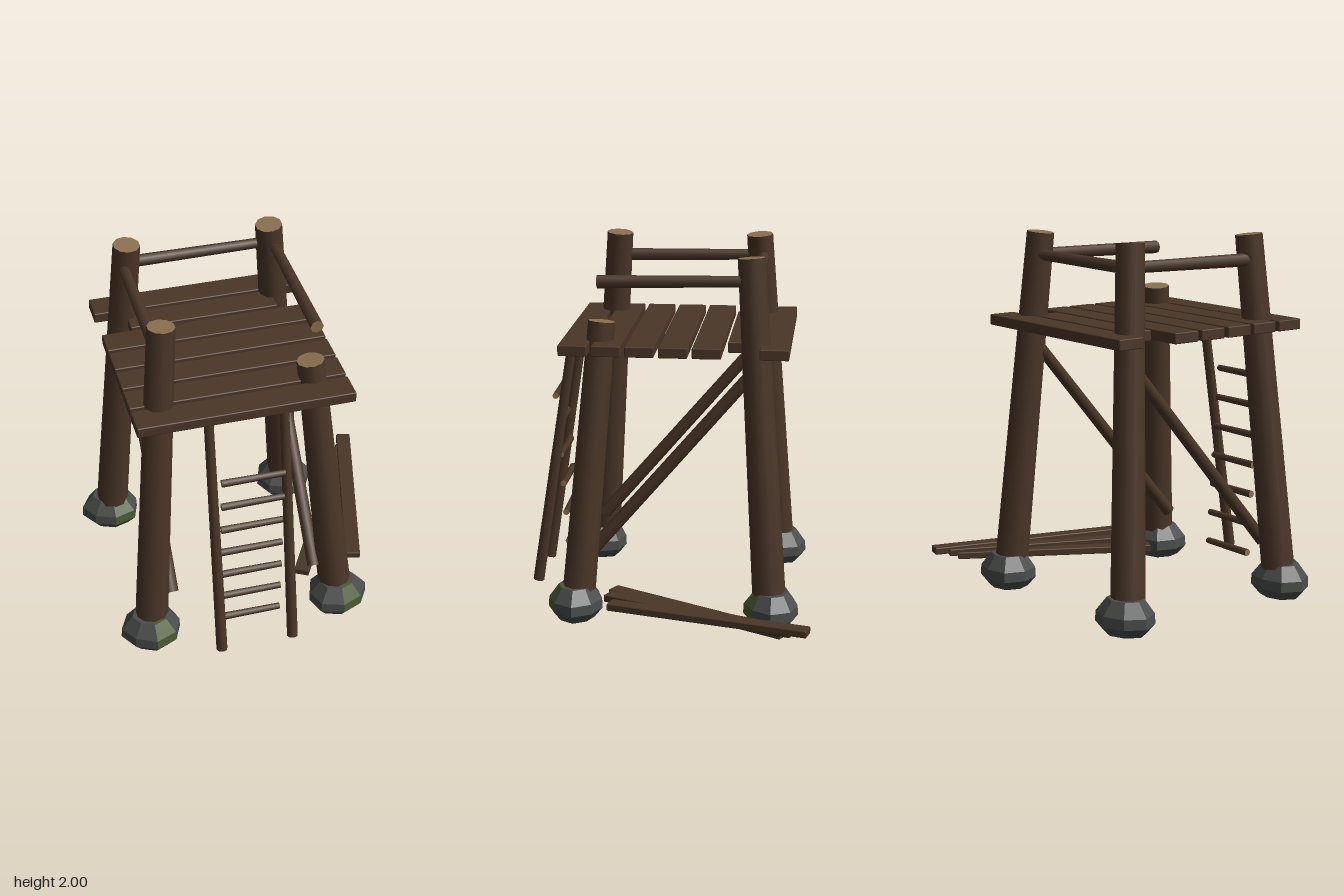
import * as THREE from 'three';
import { RoundedBoxGeometry } from 'three/addons/geometries/RoundedBoxGeometry.js';

const material = (name, color, flatShading = false) => {
  const m = new THREE.MeshStandardMaterial({ color, flatShading });
  m.name = name;
  return m;
};

export function createModel() {
  const wood = material('bark brown', 0x4a3628);
  const cut = material('cut wood tan', 0x8b7050);
  const stone = material('stone grey', 0x4a4d4b, true);
  const moss = material('moss green', 0x4a5a34, true);

  const model = new THREE.Group();
  model.name = 'watchtower';
  const V = (x, y, z) => new THREE.Vector3(x, y, z);
  const up = V(0, 1, 0);
  const group = (name) => {
    const g = new THREE.Group();
    g.name = name;
    model.add(g);
    return g;
  };

  // Round timber from a to b, with chosen end materials
  function pole(parent, name, a, b, rA, rB, sides, endB = wood, endA = wood) {
    const d = b.clone().sub(a);
    const mesh = new THREE.Mesh(new THREE.CylinderGeometry(rB, rA, d.length(), sides), [wood, endB, endA]);
    mesh.name = name;
    mesh.position.copy(a).add(b).multiplyScalar(0.5);
    mesh.quaternion.setFromUnitVectors(up, d.normalize());
    parent.add(mesh);
  }

  function board(parent, name, size, pos, turn = 0) {
    const mesh = new THREE.Mesh(new RoundedBoxGeometry(...size, 1, 0.006), wood);
    mesh.name = name;
    mesh.position.set(...pos);
    mesh.rotation.y = THREE.MathUtils.degToRad(turn);
    parent.add(mesh);
  }

  // Eight-sided footing stone with one mossy facet column facing front
  function footing(parent, x, z, rx, rz, seed) {
    const profile = [[0, 0], [0.7, 0], [1, 0.055], [0.98, 0.11], [0.62, 0.185], [0, 0.185]]
      .map(([r, y]) => new THREE.Vector2(r, y));
    const geo = new THREE.LatheGeometry(profile, 8);
    const p = geo.attributes.position;
    for (let i = 0; i < p.count; i++) {
      const px = p.getX(i), pz = p.getZ(i);
      const k = 1 + 0.05 * Math.sin(3 * Math.atan2(px, pz + 1e-6) + seed);
      p.setX(i, px * k);
      p.setZ(i, pz * k);
    }
    const perSide = (profile.length - 1) * 6;
    geo.addGroup(0, perSide, 1);
    geo.addGroup(perSide, perSide * 7, 0);
    const mesh = new THREE.Mesh(geo, [stone, moss]);
    mesh.name = 'footingStone';
    mesh.position.set(x, 0, z);
    mesh.scale.set(rx, 1, rz);
    parent.add(mesh);
  }

  // Leaning corner legs on stones; the front left one is broken short
  const legs = group('legs');
  const stones = group('footings');
  const cx = -0.165, cz = -0.035;
  let seed = 0;
  for (const sx of [-1, 1]) {
    for (const sz of [-1, 1]) {
      const height = sx > 0 && sz > 0 ? 1.635 : 1.99;
      pole(legs, 'leg', V(cx + sx * 0.54, 0.05, cz + sz * 0.53),
        V(cx + sx * 0.395, height, cz + sz * 0.4), 0.092, 0.074, 10, cut);
      footing(stones, cx + sx * 0.54, cz + sz * 0.54, 0.167, 0.15, seed++);
    }
  }

  // Deck planks; the one between the back legs is cut shorter
  const deck = group('deck');
  for (let i = 0; i < 7; i++) {
    const length = i === 1 ? 0.83 : 1.165;
    board(deck, 'deckPlank', [length, 0.058, 0.155], [cx, 1.508, -0.57 + i * 0.1785]);
  }

  // Guard rails on three sides
  const rails = group('guardRails');
  pole(rails, 'backRail', V(-0.58, 1.865, -0.46), V(0.25, 1.868, -0.455), 0.034, 0.028, 8, cut, cut);
  pole(rails, 'rightRail', V(-0.588, 1.855, 0.385), V(-0.588, 1.868, -0.44), 0.036, 0.03, 8, cut, cut);
  pole(rails, 'leftRail', V(0.255, 1.852, 0.385), V(0.255, 1.868, -0.44), 0.036, 0.03, 8, cut, cut);

  // Diagonal side braces
  const braces = group('braces');
  for (const x of [-0.575, 0.245]) {
    pole(braces, 'brace', V(x, 0.29, 0.475), V(x, 1.39, -0.465), 0.037, 0.034, 8);
  }

  // Ladder
  const ladder = group('ladder');
  for (const x of [-0.37, 0.034]) {
    pole(ladder, 'ladderStile', V(x, 0.08, 0.772), V(x, 1.49, 0.555), 0.031, 0.026, 8);
  }
  for (let i = 0; i < 7; i++) {
    const y = 0.14 + i * 0.1695;
    const z = 0.588 + i * 0.012;
    pole(ladder, 'rung', V(-0.332, y, z), V(0.012, y, z), 0.021, 0.018, 7, cut, cut);
  }

  // Fanned stack of loose boards beside the tower
  const stack = group('looseBoards');
  board(stack, 'looseBoard', [0.085, 0.04, 1.12], [0.685, 0.135, -0.245], -15);
  board(stack, 'looseBoard', [0.085, 0.04, 1.12], [0.585, 0.12, -0.187], -22.5);
  board(stack, 'looseBoard', [0.085, 0.04, 1.12], [0.5, 0.1, -0.17], -29.5);

  return model;
}
